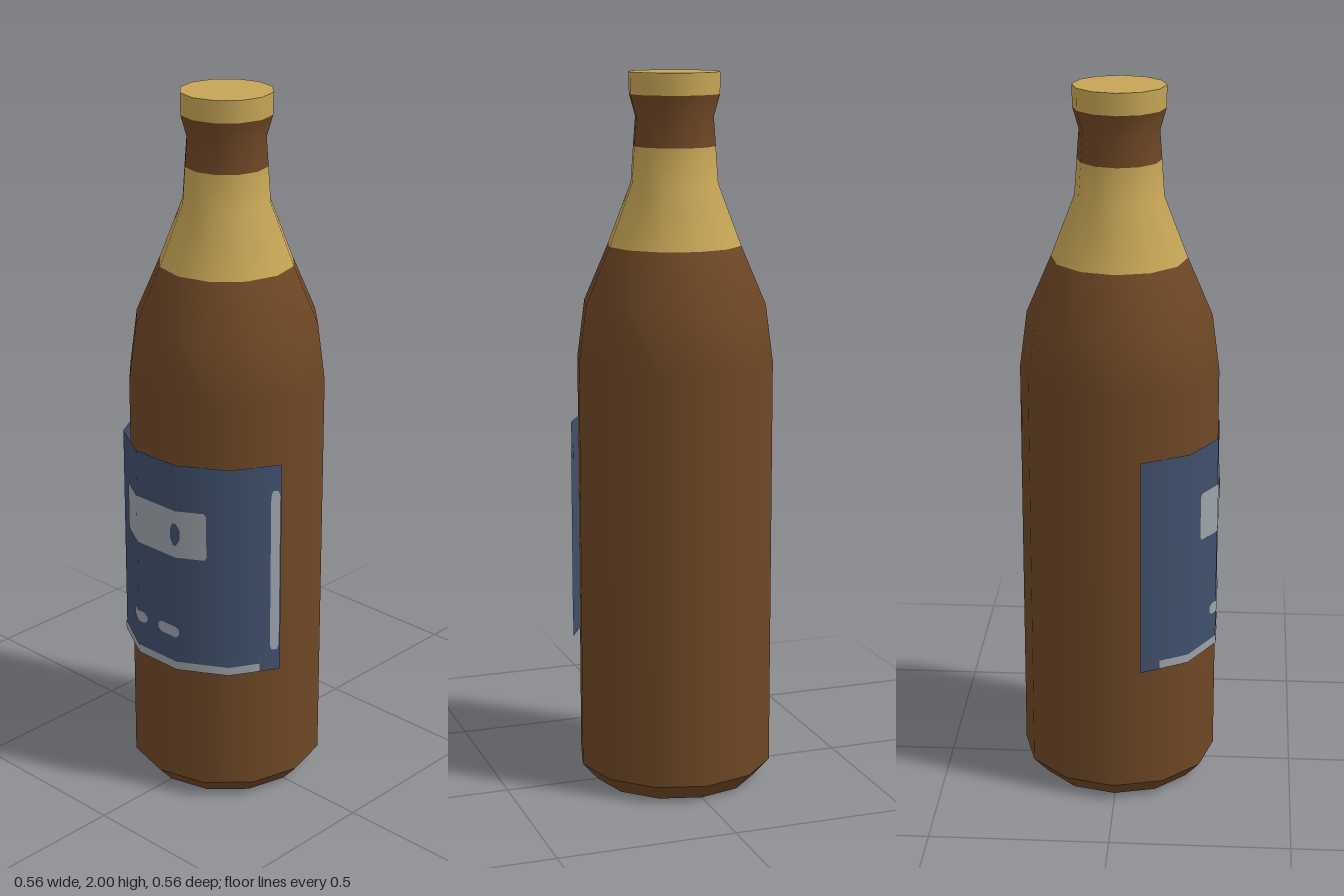
import * as THREE from 'three';

const SIDES = 12;
const LABEL_RADIUS = 0.289;
const deg = THREE.MathUtils.degToRad;

function material(name, color, side = THREE.FrontSide) {
  const m = new THREE.MeshStandardMaterial({ color, side });
  m.name = name;
  return m;
}

export function createModel() {
  const bottle = new THREE.Group();
  bottle.name = 'bottle';
  const brown = material('brown glass', 0x6e4725);
  const gold = material('gold foil', 0xc6a556);
  const blue = material('label blue', 0x40506c, THREE.DoubleSide);
  const grey = material('label grey', 0x9da2aa, THREE.DoubleSide);

  function add(name, geometry, mat) {
    const mesh = new THREE.Mesh(geometry, mat);
    mesh.name = name;
    mesh.position.z = -0.002;
    bottle.add(mesh);
  }

  // Twelve-sided turned section from [radius, height] points
  function turned(name, points, mat) {
    const profile = points.map(([r, y]) => new THREE.Vector2(r, y));
    add(name, new THREE.LatheGeometry(profile, SIDES), mat);
  }

  // Thin patch wrapped on the label's facets, between two angles from the front;
  // taper cuts the corners by [degrees, height]
  function patch(name, a0, a1, y0, y1, lift, mat, taper = [0, 0]) {
    const angles = [a0, a1, -45, -15, 15, 45];
    if (taper[0]) angles.push(a0 + taper[0], a1 - taper[0]);
    const columns = [...new Set(angles)].filter(a => a >= a0 && a <= a1).sort((a, b) => a - b);
    const positions = [], normals = [], index = [];
    columns.forEach((a, i) => {
      const facet = Math.round(a / 30) * 30;
      const r = LABEL_RADIUS * Math.cos(deg(15)) / Math.cos(deg(a - facet)) + lift;
      const s = Math.sin(deg(a)), c = Math.cos(deg(a));
      const cut = a === a0 || a === a1 ? taper[1] : 0;
      for (const y of [y0 + cut, y1 - cut]) {
        positions.push(r * s, y, r * c);
        normals.push(s, 0, c);
      }
      if (i) {
        const k = 2 * i;
        index.push(k - 2, k, k + 1, k - 2, k + 1, k - 1);
      }
    });
    const g = new THREE.BufferGeometry();
    g.setAttribute('position', new THREE.Float32BufferAttribute(positions, 3));
    g.setAttribute('normal', new THREE.Float32BufferAttribute(normals, 3));
    g.setIndex(index);
    add(name, g, mat);
  }

  // Glass, foil and cap
  turned('base', [[0, 0], [0.232, 0]], brown);
  turned('baseChamfer', [[0.232, 0], [0.277, 0.05]], brown);
  turned('body', [[0.277, 0.05], [0.277, 1.21], [0.256, 1.37], [0.187, 1.53]], brown);
  turned('neckFoil', [[0.187, 1.53], [0.122, 1.7], [0.115, 1.8]], gold);
  turned('neck', [[0.115, 1.8], [0.109, 1.88], [0.126, 1.94]], brown);
  turned('capSide', [[0.126, 1.94], [0.127, 2]], gold);
  turned('capTop', [[0.127, 2], [0, 2]], gold);

  // Front label and its printed blocks
  patch('label', -75, 75, 0.41, 1.035, 0, blue);
  patch('labelPanel', -33.5, 32.5, 0.76, 0.9, 0.002, grey, [1.5, 0.008]);
  patch('panelOval', 11.5, 17.5, 0.797, 0.863, 0.004, blue, [2, 0.018]);
  patch('leftMark', -22.5, -8, 0.512, 0.545, 0.002, grey, [2.5, 0.009]);
  patch('rightMark', 1, 16.5, 0.512, 0.545, 0.002, grey, [2.5, 0.009]);
  patch('bottomStripe', -63, 63, 0.412, 0.436, 0.002, grey);
  patch('sideStripe', 69, 74, 0.475, 0.96, 0.002, grey, [1, 0.015]);

  return bottle;
}
